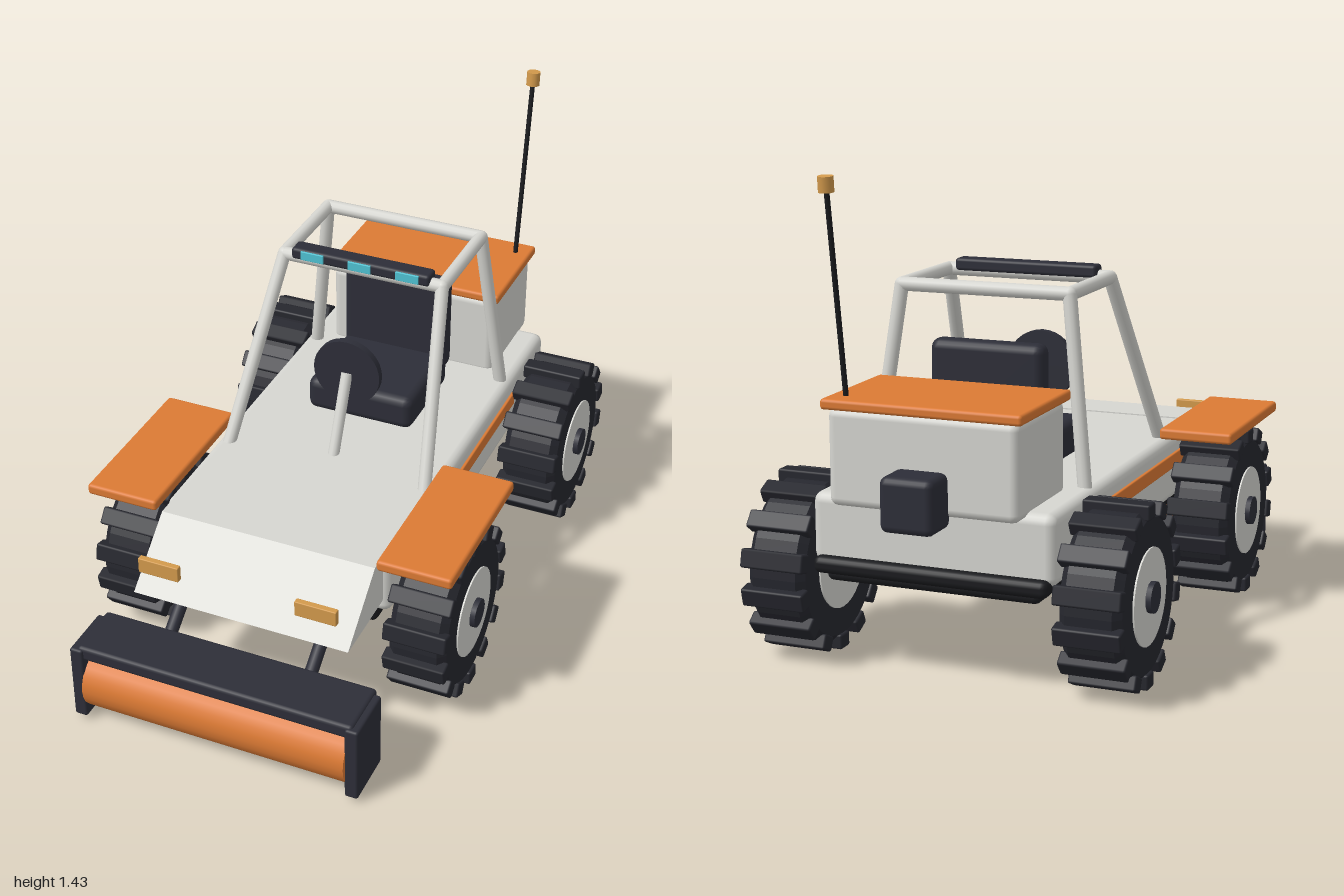
import * as THREE from 'three';
import { RoundedBoxGeometry } from 'three/addons/geometries/RoundedBoxGeometry.js';

const mat = (name, color, flatShading = false) => {
  const m = new THREE.MeshStandardMaterial({ color, flatShading });
  m.name = name;
  return m;
};

export function createModel() {
  const root = new THREE.Group();
  root.name = 'utilityBuggy';

  const shell = mat('shellGrey', 0xd6d6d1);
  const orange = mat('safetyOrange', 0xdc7a34);
  const dark = mat('darkTrim', 0x2d2e38);
  const rubber = mat('tyreRubber', 0x26272e);
  const black = mat('chassisBlack', 0x1a1b1e);
  const amber = mat('amberLamp', 0xd39a4c);
  const cyan = mat('cyanLamp', 0x4fc3d3);

  const add = (name, geo, material, parent = root) => {
    const m = new THREE.Mesh(geo, material);
    m.name = name;
    parent.add(m);
    return m;
  };
  // Rounded box given by its extents on each axis
  const box = (name, [x0, x1], [y0, y1], [z0, z1], material, r = 0.01, parent = root) => {
    const m = add(name, new RoundedBoxGeometry(x1 - x0, y1 - y0, z1 - z0, 2, r), material, parent);
    m.position.set((x0 + x1) / 2, (y0 + y1) / 2, (z0 + z1) / 2);
    return m;
  };
  // Straight round bar between two points
  const bar = (name, a, b, r, material, sides = 12) => {
    const p = new THREE.Vector3(...a), q = new THREE.Vector3(...b);
    const d = q.clone().sub(p);
    const m = add(name, new THREE.CylinderGeometry(r, r, d.length(), sides), material);
    m.position.copy(p).add(q).multiplyScalar(0.5);
    m.quaternion.setFromUnitVectors(new THREE.Vector3(0, 1, 0), d.normalize());
    return m;
  };

  // Chassis and body
  box('chassis', [-0.325, 0.325], [0.275, 0.335], [-0.84, 0.54], black, 0.02);
  box('rearBar', [-0.355, 0.355], [0.3, 0.35], [-0.865, -0.8], black, 0.02);
  box('body', [-0.368, 0.368], [0.322, 0.53], [-0.835, 0.54], shell, 0.03);

  // Sloping nose, extruded across the width
  const nose = new THREE.Shape();
  [[0.44, 0.37], [0.795, 0.37], [0.6, 0.534], [0.44, 0.534]].forEach(([z, y], i) =>
    i ? nose.lineTo(-z, y) : nose.moveTo(-z, y));
  nose.closePath();
  const noseGeo = new THREE.ExtrudeGeometry(nose, { depth: 0.69, bevelEnabled: false });
  noseGeo.translate(0, 0, -0.345).rotateY(Math.PI / 2);
  add('nose', noseGeo, shell);

  // Rear cargo box, lid and the unit behind it
  box('cargoBox', [-0.285, 0.285], [0.51, 0.79], [-0.893, -0.538], shell, 0.025);
  box('cargoLid', [-0.3, 0.3], [0.785, 0.816], [-0.905, -0.53], orange, 0.01);
  box('rearUnit', [-0.08, 0.08], [0.48, 0.637], [-0.998, -0.87], dark, 0.022);

  // Seat
  box('seatCushion', [-0.178, 0.178], [0.535, 0.647], [-0.41, -0.082], dark, 0.028);
  box('seatBack', [-0.178, 0.178], [0.59, 0.915], [-0.448, -0.375], dark, 0.028);

  // Steering wheel and column
  bar('steeringColumn', [0, 0.52, 0.115], [0, 0.765, 0.008], 0.018, shell);
  bar('steeringWheel', [0, 0.768, -0.011], [0, 0.768, 0.012], 0.11, dark, 32);

  // Roll cage
  const R = 0.021, X = 0.262, Y = 1.072, ZF = -0.11, ZR = -0.447;
  for (const s of [1, -1]) {
    bar('cageFrontPost', [s * 0.33, 0.52, 0.178], [s * X, Y, ZF], R, shell);
    bar('cageRearPost', [s * 0.33, 0.52, -0.5], [s * X, Y, ZR], R, shell);
    bar('cageSideRail', [s * X, Y, ZF], [s * X, Y, ZR], R, shell);
    for (const z of [ZF, ZR]) {
      add('cageJoint', new THREE.SphereGeometry(R, 12, 8), shell).position.set(s * X, Y, z);
    }
  }
  bar('cageFrontRail', [-X, Y, ZF], [X, Y, ZF], R, shell);
  bar('cageRearRail', [-X, Y, ZR], [X, Y, ZR], R, shell);

  // Roof light bar
  box('lightBar', [-0.228, 0.228], [1.071, 1.109], [-0.143, -0.085], dark, 0.01);
  for (const x of [-0.157, 0, 0.157]) {
    box('roofLamp', [x - 0.038, x + 0.038], [1.076, 1.105], [-0.088, -0.081], cyan, 0.002);
  }

  // Antenna
  bar('antennaRod', [0.25, 0.81, -0.838], [0.25, 1.4, -0.93], 0.008, black, 8);
  bar('antennaTip', [0.25, 1.388, -0.93], [0.25, 1.432, -0.934], 0.022, amber, 12);

  // Front roller: shroud, cheeks and drum
  box('rollerShroud', [-0.44, 0.44], [0.228, 0.275], [0.8, 0.985], dark, 0.012);
  bar('rollerDrum', [-0.42, 0.126, 0.907], [0.42, 0.126, 0.907], 0.099, orange, 24);

  // Parts mirrored on both sides
  for (const s of [1, -1]) {
    const span = (a, b) => (s > 0 ? [a, b] : [-b, -a]);
    box('fender', span(0.355, 0.587), [0.541, 0.576], [0.09, 0.62], orange, 0.01);
    box('sideStripe', span(0.36, 0.377), [0.432, 0.477], [-0.52, 0.3], orange, 0.004);
    box('headlamp', span(0.185, 0.315), [0.466, 0.516], [0.791, 0.811], amber, 0.003);
    box('rollerCheek', span(0.418, 0.46), [0.017, 0.268], [0.818, 0.993], dark, 0.008);
    bar('rollerArm', [s * 0.228, 0.235, 0.82], [s * 0.228, 0.35, 0.67], 0.02, dark, 10);
  }

  // Wheels: chamfered tyre, tread lugs, rim disc and centre cap
  const tyreGeo = new THREE.LatheGeometry([
    [0.13, -0.09], [0.222, -0.09], [0.245, -0.068], [0.245, 0.068], [0.222, 0.09], [0.13, 0.09],
  ].map(([r, y]) => new THREE.Vector2(r, y)), 40).toNonIndexed();
  tyreGeo.computeVertexNormals();
  tyreGeo.rotateZ(Math.PI / 2);
  const lugGeo = new RoundedBoxGeometry(0.198, 0.045, 0.055, 1, 0.006);
  const rimGeo = new THREE.CylinderGeometry(0.14, 0.14, 0.19, 32).rotateZ(Math.PI / 2);
  const capGeo = new THREE.CylinderGeometry(0.045, 0.045, 0.222, 16).rotateZ(Math.PI / 2);
  const LUGS = 14;
  for (const s of [1, -1]) {
    for (const [name, z] of [['frontWheel', 0.362], ['rearWheel', -0.625]]) {
      const wheel = new THREE.Group();
      wheel.name = name;
      wheel.position.set(s * 0.476, 0.268, z);
      add('tyre', tyreGeo, rubber, wheel);
      add('rim', rimGeo, shell, wheel);
      add('hubCap', capGeo, dark, wheel);
      for (let i = 0; i < LUGS; i++) {
        const a = (i / LUGS) * Math.PI * 2 + Math.PI;
        const lug = add('treadLug', lugGeo, rubber, wheel);
        lug.position.set(0, Math.cos(a) * 0.244, Math.sin(a) * 0.244);
        lug.rotation.x = a;
      }
      root.add(wheel);
    }
  }
  return root;
}
